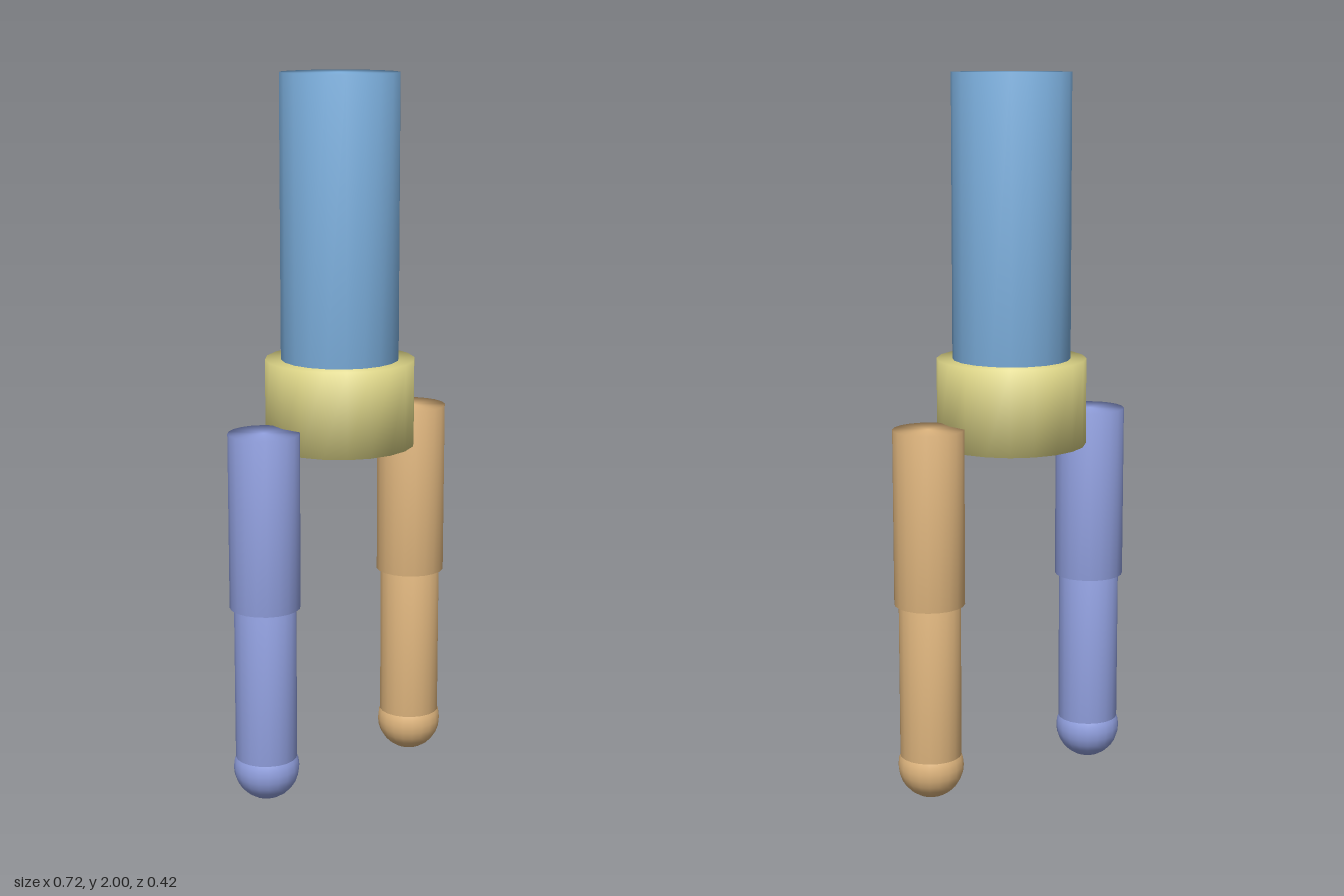
import * as THREE from 'three';
import { mergeVertices } from 'three/addons/utils/BufferGeometryUtils.js';

const SIDES = 20;

function material(name, color) {
  const m = new THREE.MeshStandardMaterial({ color });
  m.name = name;
  return m;
}

// Capped cylinder whose caps share smooth normals with the wall
function softCylinder(radius, bottom, top) {
  let g = new THREE.CylinderGeometry(radius, radius, top - bottom, SIDES);
  g.deleteAttribute('normal');
  g.deleteAttribute('uv');
  g = mergeVertices(g, 1e-4);
  g.computeVertexNormals();
  return g.translate(0, (bottom + top) / 2, 0);
}

function add(parent, name, geometry, mat) {
  const mesh = new THREE.Mesh(geometry, mat);
  mesh.name = name;
  parent.add(mesh);
}

export function createModel() {
  const model = new THREE.Group();
  model.name = 'walker';

  const blue = material('blue', 0x7fb3e2);
  const yellow = material('yellow', 0xe0d889);
  const orange = material('orange', 0xe2b880);
  const violet = material('violet', 0x94a3e3);

  // Torso and hips
  add(model, 'torso', softCylinder(0.164, 1.2, 2), blue);
  add(model, 'hips', softCylinder(0.208, 0.98, 1.22), yellow);

  // Legs, placed point-symmetrically about the vertical axis
  for (const [side, name, mat] of [[1, 'leftLeg', orange], [-1, 'rightLeg', violet]]) {
    const leg = new THREE.Group();
    leg.name = name;
    leg.position.set(side * 0.263, 0, side * -0.088);
    add(leg, 'thigh', softCylinder(0.098, 0.56, 1.05), mat);
    add(leg, 'shin', softCylinder(0.086, 0.09, 0.57), mat);
    add(leg, 'foot', new THREE.SphereGeometry(0.092, SIDES, 14).translate(0, 0.092, 0), mat);
    model.add(leg);
  }
  return model;
}
